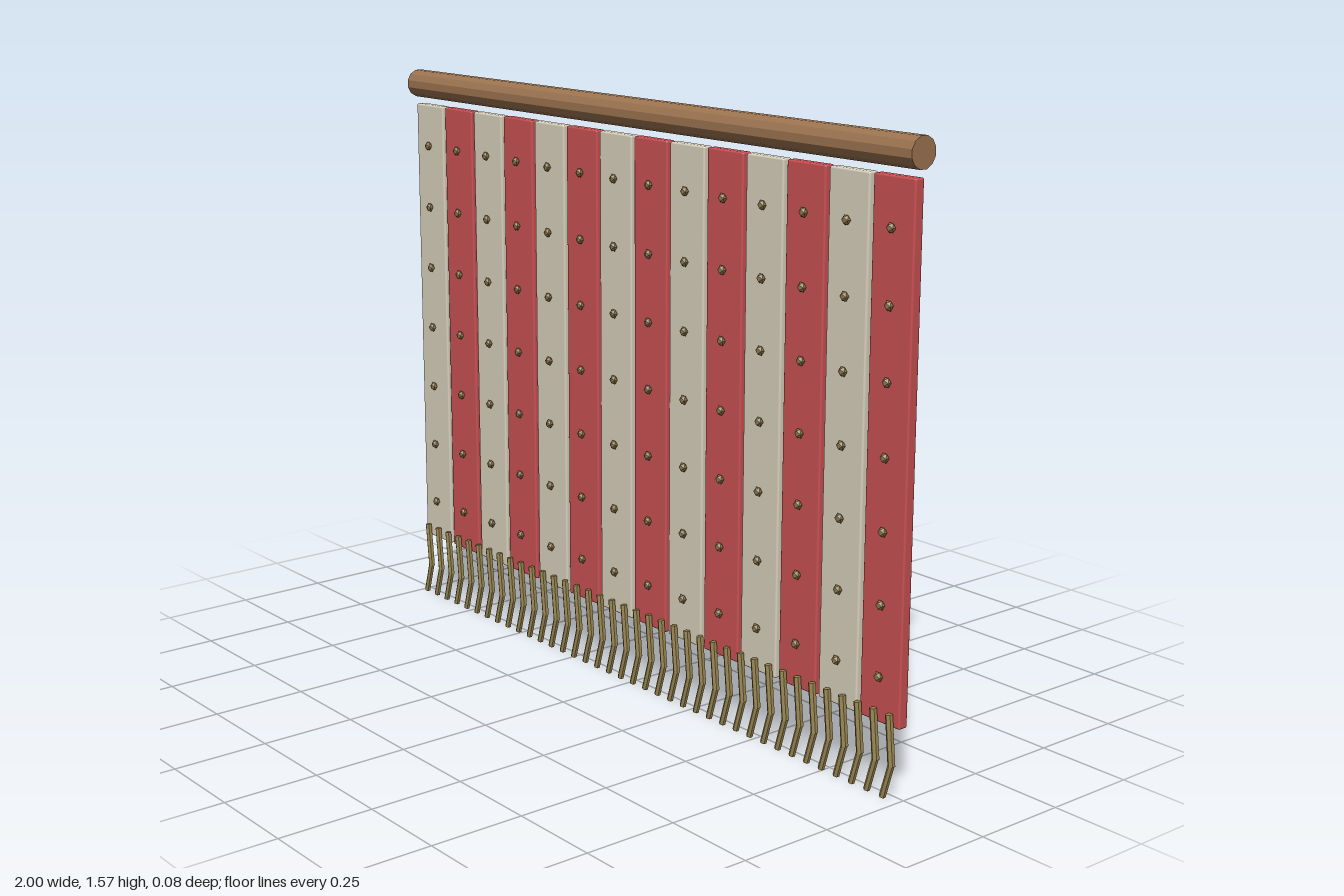
import * as THREE from 'three';
import { RoundedBoxGeometry } from 'three/addons/geometries/RoundedBoxGeometry.js';

const material = (color, flatShading = false) => new THREE.MeshStandardMaterial({ color, flatShading });

function addMesh(parent, name, geometry, mat, x = 0, y = 0, z = 0) {
  const mesh = new THREE.Mesh(geometry, mat);
  mesh.name = name;
  mesh.position.set(x, y, z);
  parent.add(mesh);
  return mesh;
}

// Straight six-sided cord between two points of the xy plane
function cordGeometry(x0, y0, x1, y1, radius) {
  const length = Math.hypot(x1 - x0, y1 - y0);
  return new THREE.CylinderGeometry(radius, radius, length, 6)
    .rotateZ(Math.atan2(y1 - y0, x1 - x0) - Math.PI / 2)
    .translate((x0 + x1) / 2, (y0 + y1) / 2, 0);
}

export function createModel() {
  const model = new THREE.Group();
  model.name = 'stripedHanging';

  const wood = material(0x9c7350, true);
  const cream = material(0xd8d0bc);
  const red = material(0xc85052);
  const brass = material(0x8a7448, true);
  const cord = material(0x9a8752, true);

  // Twelve-sided wooden rod
  const rod = new THREE.CylinderGeometry(0.039, 0.039, 2, 12)
    .rotateY(Math.PI / 12).rotateZ(Math.PI / 2);
  addMesh(model, 'rod', rod, wood, 0, 1.534, 0);

  // Alternating cloth strips, each with a column of studs
  const stripGeometry = new RoundedBoxGeometry(0.131, 1.298, 0.028, 2, 0.005);
  const studGeometry = new THREE.IcosahedronGeometry(0.0135, 0).scale(0.9, 1, 0.75);
  for (let i = 0; i < 14; i++) {
    const x = (i - 6.5) * 0.1425;
    const panel = new THREE.Group();
    panel.name = 'panel';
    panel.position.x = x;
    model.add(panel);
    addMesh(panel, 'strip', stripGeometry, i % 2 ? red : cream, 0, 0.828, 0);
    for (let j = 0; j < 7; j++) {
      addMesh(panel, 'stud', studGeometry, brass, 0, 0.295 + j * 0.1775, 0.021);
    }
  }

  // Fringe of kinked cords along the lower edge
  const upperCord = cordGeometry(0, 0.215, 0.013, 0.088, 0.0095);
  const lowerCord = cordGeometry(0.013, 0.094, -0.014, 0.003, 0.0085);
  for (let i = 0; i < 38; i++) {
    const tassel = new THREE.Group();
    tassel.name = 'tassel';
    tassel.position.set((i - 18.5) * 0.0523, 0, 0.024);
    model.add(tassel);
    addMesh(tassel, 'upperCord', upperCord, cord);
    addMesh(tassel, 'lowerCord', lowerCord, cord);
  }

  return model;
}
